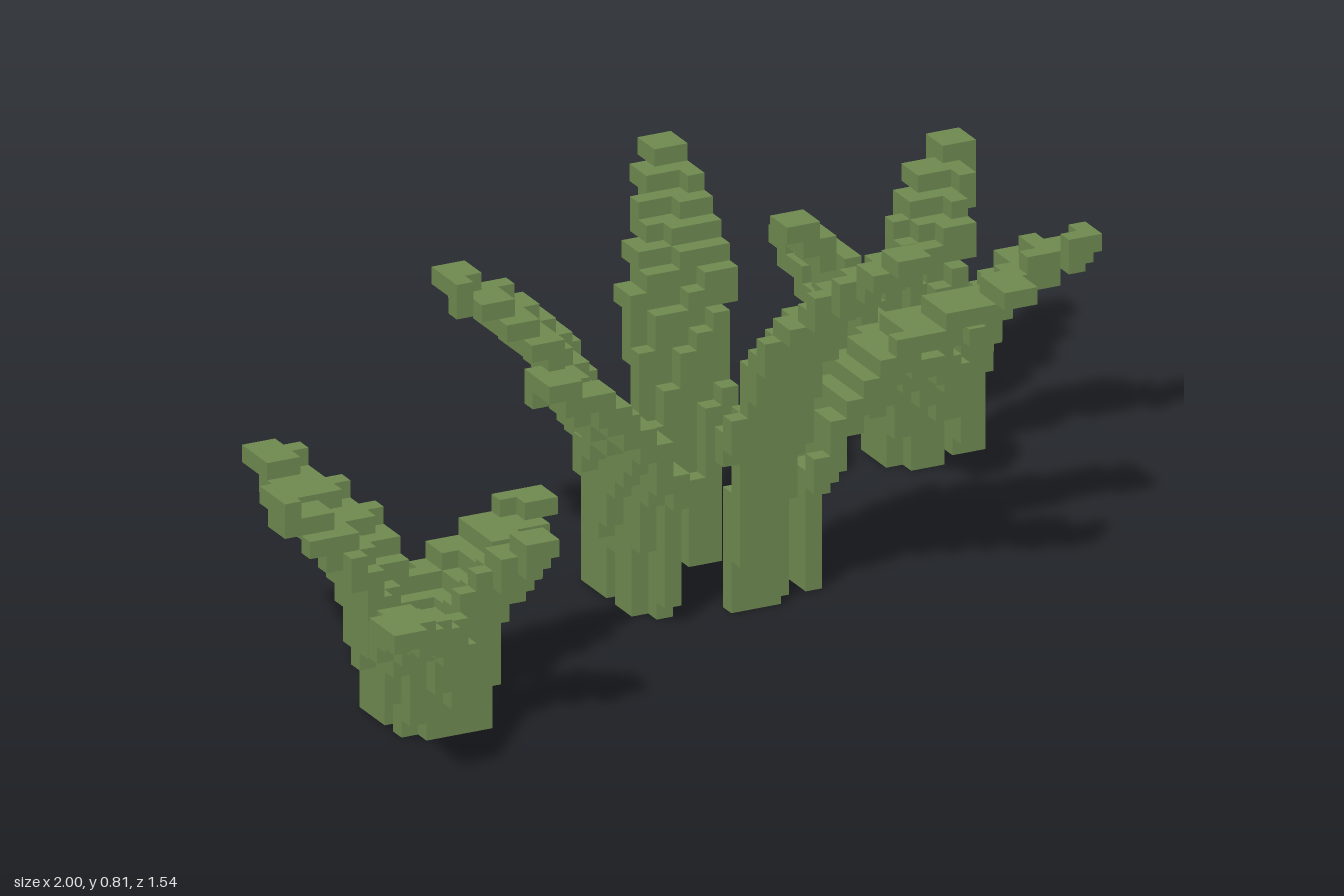
import * as THREE from 'three';
import { mergeGeometries } from 'three/addons/utils/BufferGeometryUtils.js';

const NX = 57, NZ = 44, S = 2 / NX; // block grid

// One square face template for each of the six block sides
const SIDES = [[1, 0, 0], [-1, 0, 0], [0, 1, 0], [0, -1, 0], [0, 0, 1], [0, 0, -1]].map((dir) => {
  const n = new THREE.Vector3(...dir);
  const q = new THREE.Quaternion().setFromUnitVectors(new THREE.Vector3(0, 0, 1), n);
  const plane = new THREE.PlaneGeometry(S, S).applyQuaternion(q);
  return { dir, plane: plane.translate(n.x * S / 2, n.y * S / 2, n.z * S / 2) };
});

// Fills the blocks touched by a leaf that stands upright, then leans out to its tip
function leafBlocks([bx, bz], [tx, tz], height, width, bend) {
  const blocks = new Map();
  const at = (out, up) => new THREE.Vector3(bx + (tx - bx) * out, height * up, bz + (tz - bz) * out);
  const curve = new THREE.CubicBezierCurve3(
    at(0, 0), at(0.02, bend - 0.16), at(0.2, bend), at(1, 1 - 0.6 * S / height));
  const len = Math.hypot(tx - bx, tz - bz);
  const side = [-(tz - bz) / len, (tx - bx) / len];
  const clamp = THREE.MathUtils.clamp;
  for (let i = 0; i <= 140; i++) {
    const t = i / 140, p = curve.getPoint(t);
    // narrow foot, broad middle, slim tip
    const w = width * Math.min(0.6 + 1.2 * t, 1, 1 - 1.3 * (t - 0.55));
    for (let j = -10; j <= 10; j++) {
      const o = (j / 20) * (w - S * 0.8);
      const k = [
        clamp(Math.floor((p.x + side[0] * o) / S + NX / 2), 0, NX - 1),
        Math.max(0, Math.floor(p.y / S)),
        clamp(Math.floor((p.z + side[1] * o) / S + NZ / 2), 0, NZ - 1)];
      blocks.set(k.join(), k);
    }
  }
  return blocks;
}

// Outer faces of a set of blocks
function blockGeometry(blocks) {
  const faces = [];
  for (const [x, y, z] of blocks.values()) {
    for (const { dir, plane } of SIDES) {
      if (blocks.has([x + dir[0], y + dir[1], z + dir[2]].join())) continue;
      faces.push(plane.clone().translate(
        (x + 0.5 - NX / 2) * S, (y + 0.5) * S, (z + 0.5 - NZ / 2) * S));
    }
  }
  return mergeGeometries(faces);
}

// Leaves: foot [x, z], tip [x, z], height, width, height of the bend
const CLUMPS = {
  frontRightClump: [
    [[-0.77, 0.32], [-0.86, -0.05], 0.42, 0.16, 0.78],
    [[-0.80, 0.33], [-0.985, 0.26], 0.45, 0.15, 0.76],
    [[-0.68, 0.32], [-0.43, 0.24], 0.35, 0.16, 0.78],
    [[-0.78, 0.46], [-0.965, 0.74], 0.35, 0.16, 0.78],
    [[-0.69, 0.46], [-0.60, 0.61], 0.42, 0.16, 0.76],
  ],
  middleClump: [
    [[-0.12, -0.08], [-0.385, -0.19], 0.63, 0.21, 0.76],
    [[-0.12, 0.09], [-0.385, 0.21], 0.56, 0.20, 0.76],
    [[0.06, -0.11], [0.17, -0.40], 0.74, 0.18, 0.78],
    [[0.215, 0.06], [0.63, 0.15], 0.56, 0.20, 0.79],
    [[0.08, 0.15], [0.24, 0.50], 0.81, 0.20, 0.76],
  ],
  backLeftClump: [
    [[0.67, -0.54], [0.61, -0.75], 0.35, 0.14, 0.76],
    [[0.78, -0.52], [0.94, -0.72], 0.49, 0.14, 0.78],
    [[0.79, -0.38], [0.98, -0.24], 0.45, 0.14, 0.78],
    [[0.62, -0.39], [0.42, -0.39], 0.53, 0.15, 0.72],
    [[0.67, -0.35], [0.58, -0.13], 0.32, 0.16, 0.78],
  ],
};

export function createModel() {
  const model = new THREE.Group();
  model.name = 'grassTufts';
  const green = new THREE.MeshStandardMaterial({ color: 0x6e8950 });
  green.name = 'leafGreen';
  for (const [name, leaves] of Object.entries(CLUMPS)) {
    const clump = new THREE.Group();
    clump.name = name;
    leaves.forEach((leaf, i) => {
      const mesh = new THREE.Mesh(blockGeometry(leafBlocks(...leaf)), green);
      mesh.name = `leaf${i + 1}`;
      clump.add(mesh);
    });
    model.add(clump);
  }
  return model;
}
